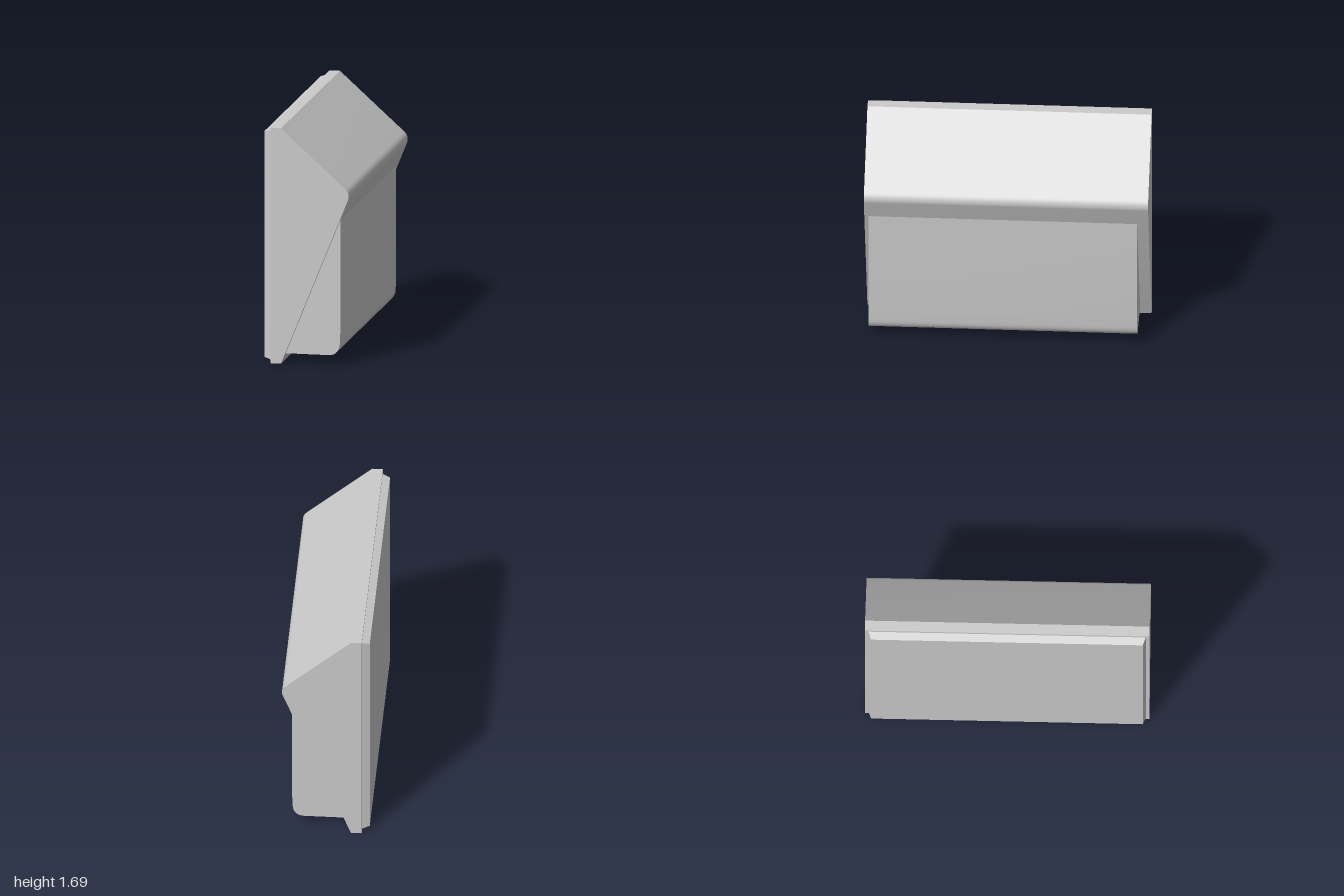
import * as THREE from 'three';
import { toCreasedNormals } from 'three/addons/utils/BufferGeometryUtils.js';

const material = new THREE.MeshStandardMaterial({ color: 0xcccccc });

// Extrude an x-y profile along z between two planes, keeping hard edges crisp
function prism(name, shape, z0, z1) {
  const geo = new THREE.ExtrudeGeometry(shape, { depth: z1 - z0, bevelEnabled: false, curveSegments: 10 });
  geo.translate(0, 0, z0);
  const mesh = new THREE.Mesh(toCreasedNormals(geo, 0.5), material);
  mesh.name = name;
  return mesh;
}

export function createModel() {
  const model = new THREE.Group();
  model.name = 'wallHousing';

  // Wedge-shaped housing with a rounded nose
  const housing = new THREE.Shape();
  housing.moveTo(-0.255, 0);
  housing.lineTo(-0.18, 0);
  housing.lineTo(0.3, 1.19);
  housing.quadraticCurveTo(0.32, 1.24, 0.28, 1.276);
  housing.lineTo(-0.18, 1.69);
  housing.lineTo(-0.255, 1.69);
  housing.closePath();
  model.add(prism('housing', housing, -1, 1));

  // Box set into the sloping underside, its lower outer edge rounded
  const box = new THREE.Shape();
  box.moveTo(-0.2, 0.07);
  box.lineTo(0.16, 0.07);
  box.bezierCurveTo(0.205, 0.07, 0.237, 0.105, 0.237, 0.16);
  box.lineTo(0.241, 0.25);
  box.lineTo(0.241, 1.1);
  box.lineTo(0.15, 1.1);
  box.closePath();
  model.add(prism('undersideBox', box, -0.92, 0.97));

  // Back plate, tapering towards its rear face
  const plateGeo = new THREE.BoxGeometry(0.055, 1.65, 1.95).toNonIndexed();
  const pos = plateGeo.attributes.position;
  for (let i = 0; i < pos.count; i++) {
    if (pos.getX(i) > 0) continue;
    pos.setY(i, Math.sign(pos.getY(i)) * 0.81);
    pos.setZ(i, Math.sign(pos.getZ(i)) * 0.955);
  }
  plateGeo.computeVertexNormals();
  const plate = new THREE.Mesh(plateGeo, material);
  plate.name = 'backPlate';
  plate.position.set(-0.2815, 0.845, 0);
  model.add(plate);

  return model;
}
